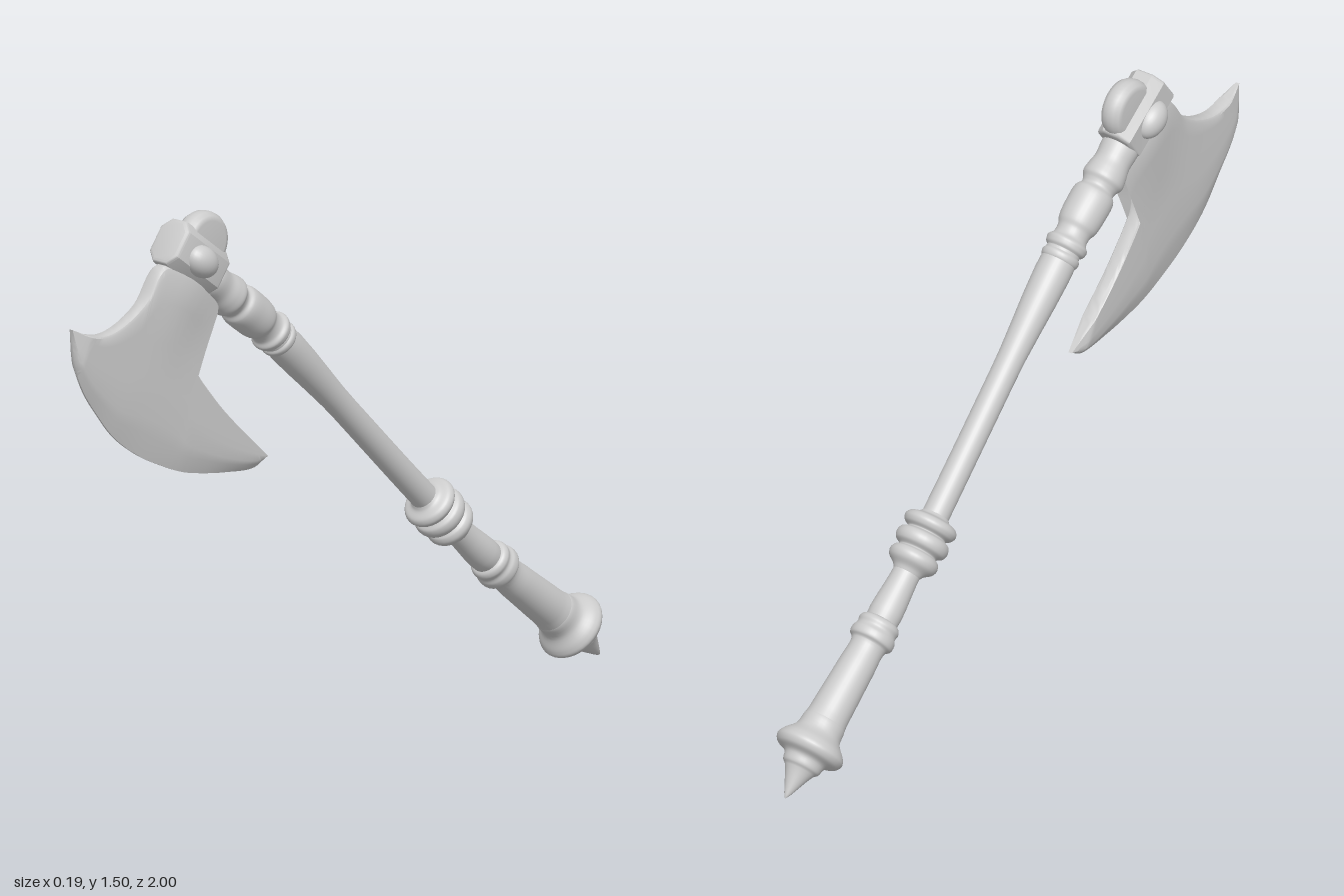
import * as THREE from 'three';
import { mergeVertices, toCreasedNormals } from 'three/addons/utils/BufferGeometryUtils.js';

const material = new THREE.MeshStandardMaterial({ color: 0xcccccc });
const V = (z, y) => new THREE.Vector3(0, y, z);
const curve = (pts) => new THREE.CatmullRomCurve3(pts.map(([z, y]) => V(z, y)));

function add(parent, name, geometry) {
  const mesh = new THREE.Mesh(geometry, material);
  mesh.name = name;
  parent.add(mesh);
  return mesh;
}

// Slightly bowed centre line of the haft, from pommel tip to head
const spine = curve([[-1, 0], [-0.89, 0.1], [-0.605, 0.32], [-0.393, 0.503],
  [0.243, 1.115], [0.436, 1.268], [0.63, 1.435]]);
const spineLength = spine.getLength();

// Turned section [distance along spine, radius], bent onto the centre line
function turned(profile) {
  const smooth = new THREE.CatmullRomCurve3(profile.map(([s, r]) => new THREE.Vector3(r, s, 0)));
  const pts = smooth.getPoints(profile.length * 5)
    .map((p) => new THREE.Vector2(Math.max(0, p.x), Math.max(0, p.y)));
  let geo = new THREE.LatheGeometry(pts, 32);
  const pos = geo.attributes.position;
  for (let i = 0; i < pos.count; i++) {
    const u = Math.min(1, pos.getY(i) / spineLength);
    const p = spine.getPointAt(u), t = spine.getTangentAt(u), w = pos.getZ(i);
    pos.setXYZ(i, pos.getX(i), p.y - t.z * w, p.z + t.y * w);
  }
  geo.deleteAttribute('uv');
  geo.deleteAttribute('normal');
  geo = mergeVertices(geo, 1e-5);
  geo.computeVertexNormals();
  return geo;
}

// Blade lofted between the inner outline and the cutting edge
function bladeGeometry() {
  const inner = curve([[1, 1.26], [0.945, 1.237], [0.885, 1.226], [0.82, 1.24], [0.74, 1.285],
    [0.655, 1.375], [0.46, 1.235], [0.548, 1.165], [0.56, 1.1], [0.48, 0.985], [0.37, 0.872], [0.26, 0.778]]);
  const outer = curve([[1, 1.26], [0.985, 1.15], [0.955, 1.08], [0.905, 1.01], [0.84, 0.935],
    [0.75, 0.87], [0.66, 0.825], [0.58, 0.793], [0.5, 0.775], [0.42, 0.763], [0.31, 0.756], [0.26, 0.778]]);
  const half = [[0, 0.5], [0.015, 0.85], [0.05, 1], [0.2, 1], [0.4, 1], [0.6, 1], [0.8, 0.95], [0.88, 0.75], [1, 0.12]];
  const ring = [...half, ...half.map(([u, h]) => [u, -h]).reverse()];
  const rows = 88, n = ring.length, root = V(0.58, 1.29);
  const positions = [], index = [];
  for (let i = 0; i <= rows; i++) {
    const a = inner.getPoint(i / rows), b = outer.getPoint(i / rows);
    const taper = Math.min(1, 0.25 + a.distanceTo(b) / 0.14);
    for (const [u, h] of ring) {
      const p = a.clone().lerp(b, u);
      const swell = 0.018 * Math.exp(-p.distanceToSquared(root) / 0.01);
      positions.push(h * (0.022 * taper + swell), p.y, p.z);
    }
  }
  for (let i = 0; i < rows; i++) {
    for (let j = 0; j < n; j++) {
      const k = (j + 1) % n;
      const a = i * n + j, b = i * n + k, c = a + n, d = b + n;
      index.push(a, b, c, b, d, c);
    }
  }
  const geo = new THREE.BufferGeometry();
  geo.setAttribute('position', new THREE.Float32BufferAttribute(positions, 3));
  geo.setIndex(index);
  return toCreasedNormals(geo, 0.6);
}

// Eight-sided socket block running along local z
function socketGeometry() {
  const x = 0.043, y = 0.055, c = 0.022, bevel = 0.01, length = 0.2;
  const shape = new THREE.Shape([[x, -y + c], [x, y - c], [x - c, y], [c - x, y],
    [-x, y - c], [-x, c - y], [c - x, -y], [x - c, -y]].map(([px, py]) => new THREE.Vector2(px, py)));
  const geo = new THREE.ExtrudeGeometry(shape, {
    depth: length - 2 * bevel, bevelSize: bevel, bevelThickness: bevel, bevelSegments: 3 });
  geo.translate(0, 0, bevel - length);
  geo.deleteAttribute('uv');
  return toCreasedNormals(geo, 0.7);
}

export function createModel() {
  const model = new THREE.Group();
  model.name = 'battleAxe';

  // Haft and its turned fittings
  add(model, 'pommel', turned([[0, 0], [0.01, 0.007], [0.085, 0.042], [0.095, 0.052], [0.118, 0.06],
    [0.132, 0.088], [0.148, 0.097], [0.165, 0.09], [0.195, 0.065], [0.24, 0.055], [0.25, 0]]));
  add(model, 'grip', turned([[0.2, 0], [0.202, 0.056], [0.26, 0.056], [0.4, 0.051], [0.475, 0.05],
    [0.486, 0.061], [0.505, 0.062], [0.52, 0.056], [0.535, 0.058], [0.548, 0.05], [0.556, 0]]));
  add(model, 'shaft', turned([[0.53, 0], [0.532, 0.038], [0.7, 0.038], [1, 0.037], [1.3, 0.037], [1.7, 0.037], [1.72, 0]]));
  add(model, 'gripRings', turned([[0.69, 0.036], [0.705, 0.045], [0.722, 0.065], [0.738, 0.07], [0.752, 0.064],
    [0.76, 0.054], [0.772, 0.07], [0.788, 0.075], [0.804, 0.07], [0.814, 0.055], [0.824, 0.069],
    [0.838, 0.075], [0.852, 0.068], [0.862, 0.045], [0.872, 0.036]]));
  add(model, 'upperCollar', turned([[1.615, 0.036], [1.625, 0.05], [1.64, 0.053], [1.652, 0.046], [1.662, 0.055],
    [1.678, 0.058], [1.692, 0.048], [1.715, 0.047], [1.735, 0.055], [1.78, 0.059], [1.83, 0.057],
    [1.846, 0.047], [1.86, 0.05], [1.875, 0.058], [1.9, 0.056], [1.93, 0.05], [1.99, 0.048], [2, 0]]));

  // Axe head
  add(model, 'blade', bladeGeometry());
  const head = new THREE.Group();
  head.name = 'head';
  head.position.set(0, 1.436, 0.631);
  head.rotation.x = -0.64;
  model.add(head);
  add(head, 'socket', socketGeometry());

  // Rounded bosses on both cheeks
  for (const side of [1, -1]) {
    const boss = add(head, 'cheekBoss', new THREE.SphereGeometry(1, 28, 18));
    boss.scale.set(0.04, 0.042, 0.056);
    boss.position.set(side * 0.048, -0.005, -0.098);
  }

  // Rounded crest on the back of the head
  const rim = [[0, -0.033], [0.06, -0.033], [0.073, -0.028], [0.081, -0.015], [0.083, 0],
    [0.081, 0.015], [0.073, 0.028], [0.06, 0.033], [0, 0.033]];
  const crest = add(model, 'crest', new THREE.LatheGeometry(rim.map(([r, y]) => new THREE.Vector2(r, y)), 40));
  crest.rotation.z = Math.PI / 2;
  crest.position.set(0, 1.412, 0.508);

  return model;
}
